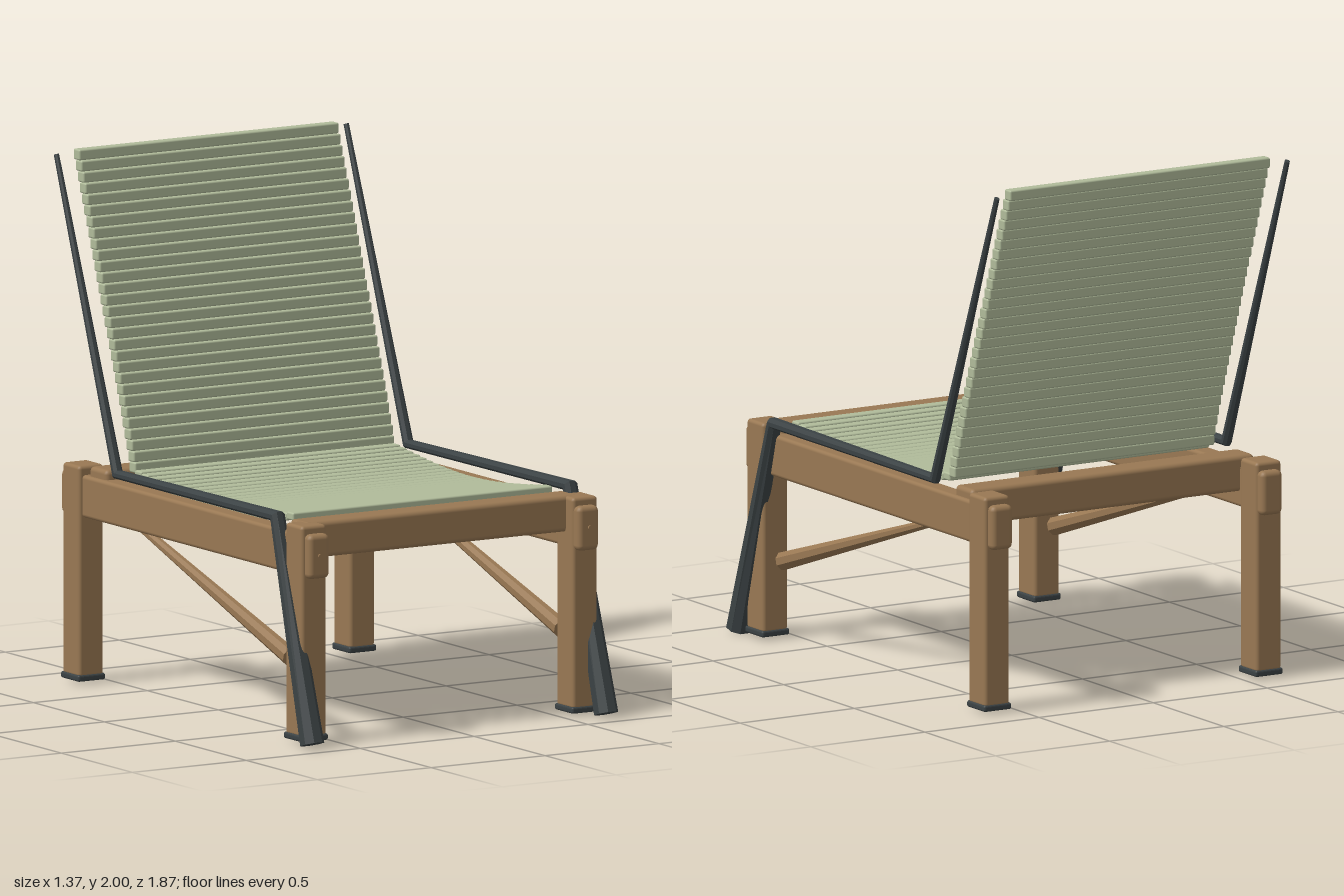
import * as THREE from 'three';
import { RoundedBoxGeometry } from 'three/addons/geometries/RoundedBoxGeometry.js';

const wood = new THREE.MeshStandardMaterial({ name: 'oiled wood', color: 0x997853 });
const slatGreen = new THREE.MeshStandardMaterial({ name: 'sage green', color: 0xb0bb9a });
const strapDark = new THREE.MeshStandardMaterial({ name: 'charcoal', color: 0x3b4244, flatShading: true });

// Rounded block given by its min and max on each axis
function block(name, x, y, z, radius, material) {
  const geo = new RoundedBoxGeometry(x[1] - x[0], y[1] - y[0], z[1] - z[0], 2, radius);
  const mesh = new THREE.Mesh(geo, material);
  mesh.name = name;
  mesh.position.set((x[0] + x[1]) / 2, (y[0] + y[1]) / 2, (z[0] + z[1]) / 2);
  return mesh;
}

// Mirrors a range onto the chosen side of the axis
const side = (s, a, b) => (s > 0 ? [a, b] : [-b, -a]);

// Tapered eight-sided bar bent through stations [x, y, z, half width, half thickness]
function bentBar(stations, s) {
  const N = 8, pos = [], idx = [];
  const pts = stations.map((p) => new THREE.Vector3(p[0] * s, p[1], p[2]));
  stations.forEach((p, k) => {
    const dir = (i) => pts[i + 1].clone().sub(pts[i]).setX(0).normalize();
    const before = dir(Math.max(k - 1, 0)), after = dir(Math.min(k, pts.length - 2));
    const t = before.clone().add(after).normalize();
    const miter = 1 / t.dot(after);
    for (let j = 0; j < N; j++) {
      const a = ((j + 0.5) / N) * Math.PI * 2;
      const u = (Math.cos(a) * p[3]) / Math.cos(Math.PI / N);
      const v = (Math.sin(a) * p[4] * miter) / Math.cos(Math.PI / N);
      pos.push(pts[k].x + u, pts[k].y + t.z * v, pts[k].z - t.y * v);
    }
  });
  for (let k = 0; k < pts.length - 1; k++) {
    for (let j = 0; j < N; j++) {
      const a = k * N + j, b = k * N + ((j + 1) % N);
      idx.push(a, b, b + N, a, b + N, a + N);
    }
  }
  const end = (pts.length - 1) * N;
  for (let j = 1; j < N - 1; j++) idx.push(0, j + 1, j, end, end + j, end + j + 1);
  const geo = new THREE.BufferGeometry();
  geo.setAttribute('position', new THREE.Float32BufferAttribute(pos, 3));
  geo.setIndex(idx);
  const flat = geo.toNonIndexed();
  flat.computeVertexNormals();
  return flat;
}

function createFrame() {
  const frame = new THREE.Group();
  frame.name = 'woodenFrame';
  for (const s of [1, -1]) {
    const label = s > 0 ? 'left' : 'right';
    // Legs with dark foot caps
    for (const [end, z] of [['Front', [0.71, 0.83]], ['Back', [-0.86, -0.74]]]) {
      frame.add(block(label + end + 'Leg', side(s, 0.54, 0.65), [0.03, 0.83], z, 0.014, wood));
      frame.add(block(label + end + 'Foot', side(s, 0.535, 0.655), [0.015, 0.04], [z[0] - 0.004, z[1] + 0.004], 0.008, strapDark));
    }
    // Long rail with rounded tenon ends passing through the legs
    frame.add(block(label + 'SideRail', side(s, 0.555, 0.635), [0.635, 0.795], [-0.85, 0.82], 0.014, wood));
    frame.add(block(label + 'FrontTenon', side(s, 0.545, 0.637), [0.632, 0.8], [0.8, 0.864], 0.02, wood));
    frame.add(block(label + 'BackTenon', side(s, 0.545, 0.637), [0.632, 0.8], [-0.894, -0.83], 0.02, wood));
    const pin = new THREE.Mesh(new THREE.CylinderGeometry(0.008, 0.008, 0.012, 10), wood);
    pin.name = label + 'TenonPin';
    pin.rotation.x = Math.PI / 2;
    pin.position.set(s * 0.592, 0.72, 0.864);
    frame.add(pin);
    // Diagonal brace tapering towards the rail
    const brace = new THREE.Mesh(bentBar([
      [0.595, 0.31, 0.66, 0.03, 0.033],
      [0.595, 0.665, -0.45, 0.014, 0.014],
    ], s), wood);
    brace.name = label + 'Brace';
    frame.add(brace);
  }
  // Cross rails
  frame.add(block('frontRail', [-0.6, 0.6], [0.695, 0.832], [0.66, 0.78], 0.018, wood));
  frame.add(block('backRail', [-0.62, 0.62], [0.695, 0.832], [-0.72, -0.595], 0.018, wood));
  return frame;
}

function createSlats() {
  const slats = new THREE.Group();
  slats.name = 'slats';
  const width = 1.14;
  // Sagging seat
  const seatGeo = new RoundedBoxGeometry(width, 0.03, 0.048, 2, 0.007);
  const seatCount = 24;
  for (let i = 0; i < seatCount; i++) {
    const t = i / (seatCount - 1);
    const slat = new THREE.Mesh(seatGeo, slatGreen);
    slat.name = 'seatSlat';
    slat.position.set(0, 0.832 - 0.045 * Math.sin(Math.PI * t), 0.615 - 1.07 * t);
    slats.add(slat);
  }
  // Stepped, slightly bowed backrest
  const backGeo = new RoundedBoxGeometry(width, 0.041, 0.044, 2, 0.007);
  const backCount = 29;
  for (let i = 0; i < backCount; i++) {
    const t = i / (backCount - 1);
    const slat = new THREE.Mesh(backGeo, slatGreen);
    slat.name = 'backSlat';
    slat.position.set(0, 0.855 + 1.125 * t, -0.495 - 0.425 * t + 0.032 * Math.sqrt(t));
    slats.add(slat);
  }
  return slats;
}

export function createModel() {
  const model = new THREE.Group();
  model.name = 'recliningChair';
  model.add(createFrame(), createSlats());
  // Bent side bars: front strut, seat edge, back upright
  for (const s of [1, -1]) {
    const bar = new THREE.Mesh(bentBar([
      [0.645, 0.017, 0.895, 0.042, 0.045],
      [0.642, 0.843, 0.645, 0.028, 0.019],
      [0.638, 0.836, -0.488, 0.02, 0.016],
      [0.636, 1.982, -0.922, 0.009, 0.011],
    ], s), strapDark);
    bar.name = s > 0 ? 'leftSideBar' : 'rightSideBar';
    model.add(bar);
  }
  return model;
}
